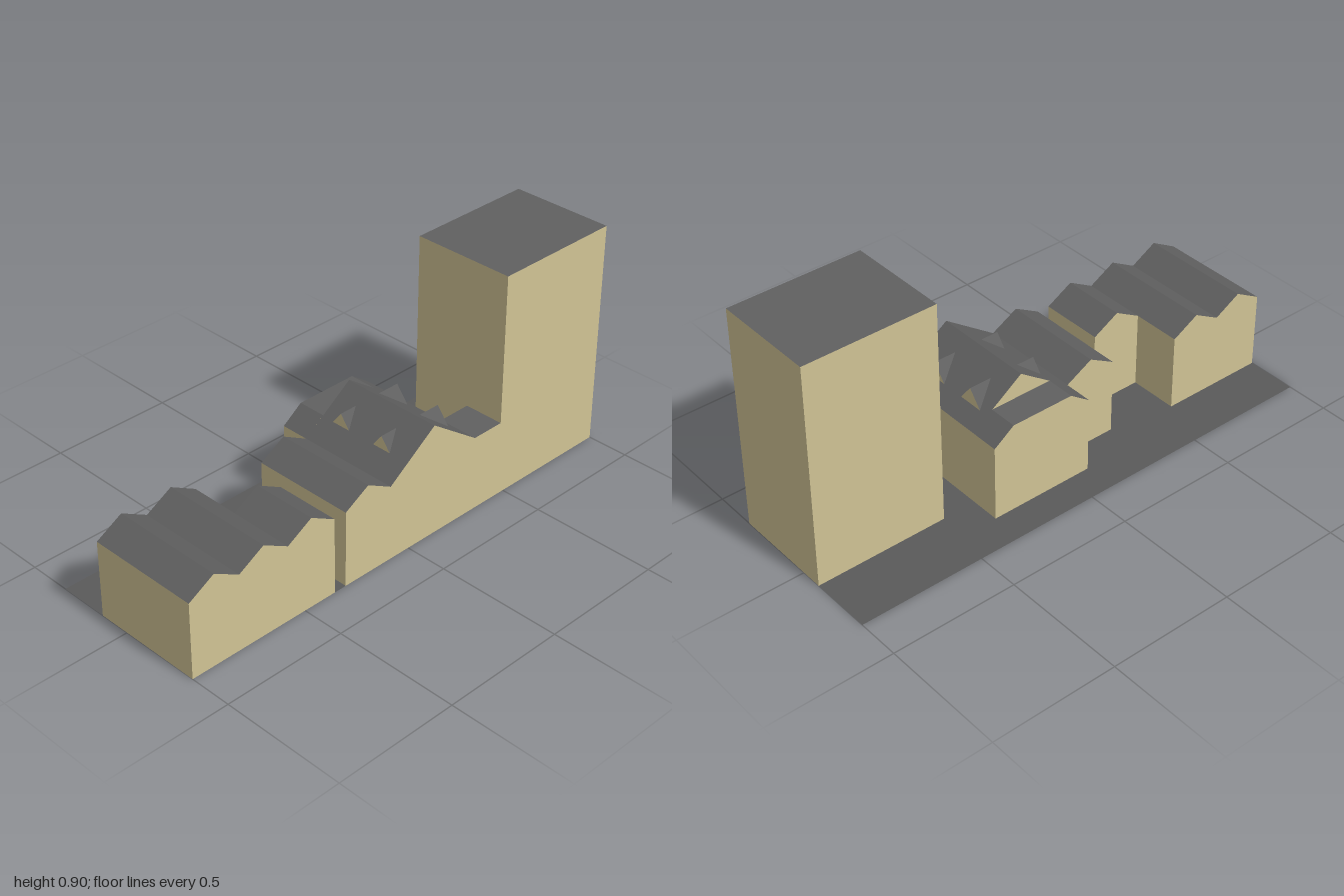
import * as THREE from 'three';

const wallMat = new THREE.MeshStandardMaterial({ color: 0xd0c395, flatShading: true });
const roofMat = new THREE.MeshStandardMaterial({ color: 0x606060, flatShading: true });
const groundMat = new THREE.MeshStandardMaterial({ color: 0x5a5a5a, side: THREE.DoubleSide });

function mesh(name, geometry, material) {
  const m = new THREE.Mesh(geometry, material);
  m.name = name;
  return m;
}

function triangles(points) {
  const g = new THREE.BufferGeometry();
  g.setAttribute('position', new THREE.Float32BufferAttribute(points.flat(), 3));
  g.computeVertexNormals();
  return g;
}

// Sweeps a line of [z, y] points across from x0 to x1
function strip(line, x0, x1) {
  const pts = [];
  for (let i = 0; i < line.length - 1; i++) {
    const [za, ya] = line[i], [zb, yb] = line[i + 1];
    const a = [x0, ya, za], b = [x1, ya, za], c = [x1, yb, zb], d = [x0, yb, zb];
    pts.push(a, b, c, a, c, d);
  }
  return triangles(pts);
}

// Building whose roof line runs from front to back
function building(name, x0, x1, roofLine) {
  const g = new THREE.Group();
  g.name = name;
  const first = roofLine[0], last = roofLine[roofLine.length - 1];
  const base = [last, [last[0], 0], [first[0], 0], first];
  g.add(mesh('roof', strip(roofLine, x0, x1), roofMat));
  g.add(mesh('frontBackWallsAndFloor', strip(base, x0, x1), wallMat));
  const outline = [...roofLine, [last[0], 0], [first[0], 0]];
  for (const [side, x] of [[1, x1], [-1, x0]]) {
    const shape = new THREE.Shape(outline.map(([z, y]) => new THREE.Vector2(-side * z, y)));
    const geo = new THREE.ShapeGeometry(shape).rotateY(side * Math.PI / 2).translate(x, 0, 0);
    g.add(mesh(side > 0 ? 'leftGable' : 'rightGable', geo, wallMat));
  }
  return g;
}

// Dormer with a triangular face and a ridge running back into the roof
function dormer(w, h, d) {
  const g = new THREE.Group();
  g.name = 'dormer';
  const A = [-w, 0, 0], B = [w, 0, 0], C = [0, h, 0], D = [0, h, -d];
  g.add(mesh('dormerFace', triangles([A, B, C]), wallMat));
  g.add(mesh('dormerRoof', triangles([B, D, C, A, C, D]), roofMat));
  return g;
}

export function createModel() {
  const model = new THREE.Group();
  model.name = 'streetBlock';
  const X = 0.33, eave = 0.307, ridge = 0.367;

  // Row of buildings, front to back
  model.add(building('frontTwinHouse', -0.127, X,
    [[1, eave], [0.893, ridge], [0.787, eave], [0.68, ridge], [0.573, eave]]));
  model.add(building('narrowHouse', 0.07, X,
    [[0.573, eave], [0.467, ridge], [0.36, eave]]));
  model.add(building('middleHouse', -0.085, X,
    [[0.308, eave], [0.202, ridge], [0.093, eave]]));
  model.add(building('mainHouse', -0.085, X,
    [[0.093, eave], [-0.12, 0.458], [-0.333, eave]]));
  model.add(building('mainHouseWing', -0.2, -0.085,
    [[0.093, eave], [0.009, ridge], [-0.249, ridge], [-0.333, eave]]));
  model.add(building('flatAnnex', 0.168, X, [[-0.333, eave], [-0.47, eave]]));
  model.add(building('tower', -0.085, X, [[-0.47, 0.903], [-1, 0.903]]));

  // Dormers on both slopes of the main house
  for (const x of [0.007, 0.205]) {
    const front = dormer(0.04, 0.052, 0.073);
    front.position.set(x, 0.365, 0.012);
    const back = dormer(0.052, 0.066, 0.092);
    back.position.set(x, 0.351, -0.271);
    back.rotation.y = Math.PI;
    model.add(front, back);
  }

  // Ground, stepping around each building: front z, back z, right end of the building
  const lots = [[1, 0.573, -0.127], [0.573, 0.36, 0.07], [0.36, 0.308, X], [0.308, 0.093, -0.085],
    [0.093, -0.333, -0.2], [-0.333, -0.47, 0.168], [-0.47, -1, -0.085]];
  const ground = new THREE.Group();
  ground.name = 'ground';
  for (const [z0, z1, x] of lots) {
    ground.add(mesh('groundLot', strip([[z0, 0], [z1, 0]], -X, x), groundMat));
  }
  model.add(ground);
  return model;
}
